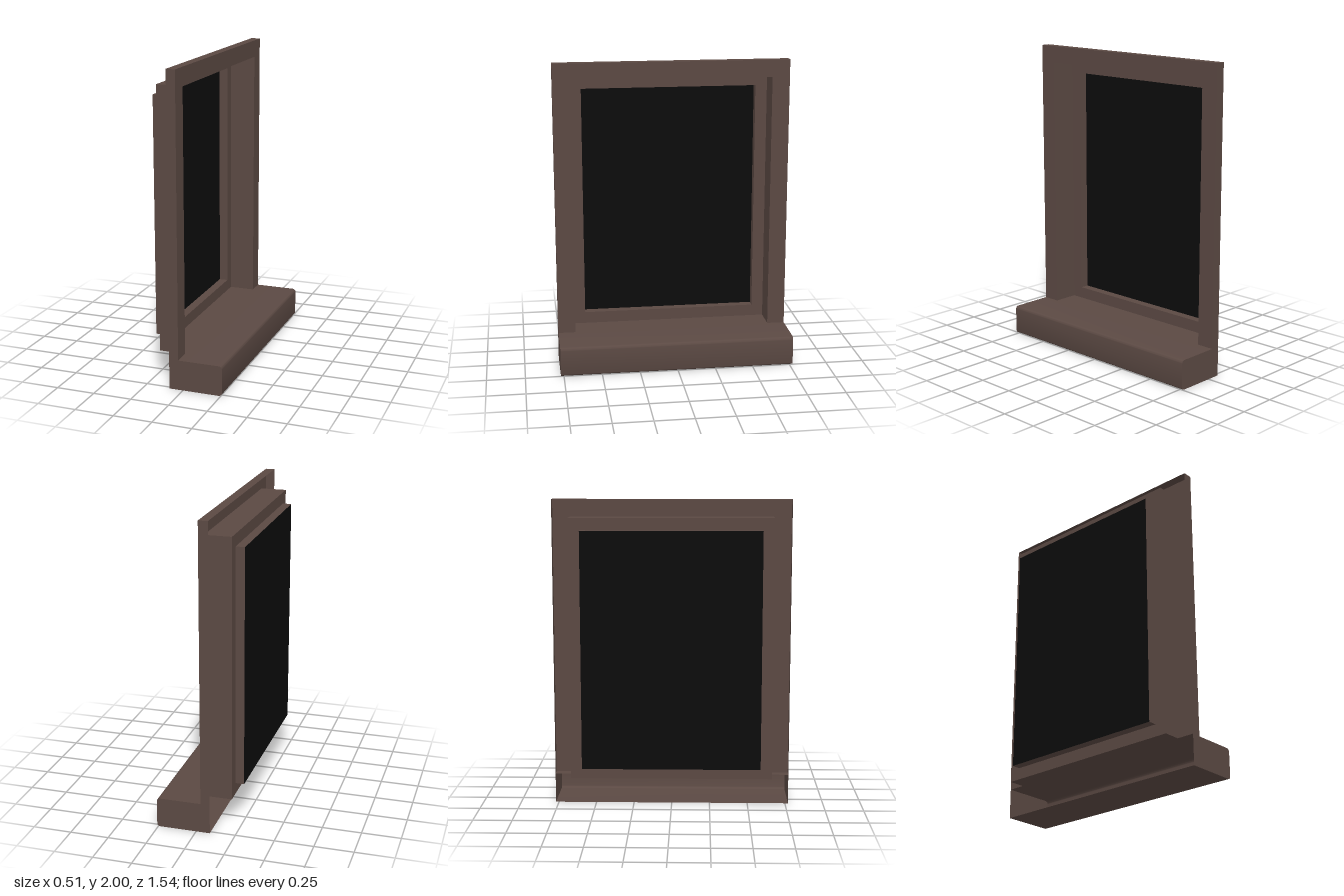
import * as THREE from 'three';
import { toCreasedNormals } from 'three/addons/utils/BufferGeometryUtils.js';

const HALF = 0.77;      // half width of frame and sill
const SILL_TOP = 0.195;

// Rectangle in the plane x, listed bottom-left, bottom-right, top-right, top-left
const rect = (x, z, y0, y1) => [[x, y0, z], [x, y0, -z], [x, y1, -z], [x, y1, z]];

// Skin between two lists of points; closed joins the last point to the first
function skin(a, b, closed) {
  const pos = [];
  const n = closed ? a.length : a.length - 1;
  for (let i = 0; i < n; i++) {
    const j = (i + 1) % a.length;
    pos.push(...a[i], ...a[j], ...b[j], ...a[i], ...b[j], ...b[i]);
  }
  const geo = new THREE.BufferGeometry();
  geo.setAttribute('position', new THREE.Float32BufferAttribute(pos, 3));
  geo.computeVertexNormals();
  return geo;
}

export function createModel() {
  const model = new THREE.Group();
  model.name = 'window';
  const brown = new THREE.MeshStandardMaterial({ color: 0x5b4943, side: THREE.DoubleSide });
  brown.name = 'brown frame';
  const black = new THREE.MeshStandardMaterial({ color: 0x0c0c0c, side: THREE.DoubleSide });
  black.name = 'black glass';

  const add = (name, geo, mat, parent = model) => {
    const mesh = new THREE.Mesh(geo, mat);
    mesh.name = name;
    parent.add(mesh);
    return mesh;
  };

  // Stepped frame: thin-walled rectangles running from the casing back to the glass
  const casingBack = rect(-0.09, HALF, SILL_TOP, 2);
  const casingFront = rect(-0.03, HALF, SILL_TOP, 2);
  const openingFront = rect(-0.03, 0.655, SILL_TOP, 1.887);
  const openingMid = rect(-0.09, 0.655, SILL_TOP, 1.887);
  const revealBack = rect(-0.2, 0.655, SILL_TOP, 1.887);
  const sashFront = rect(-0.2, 0.578, 0.272, 1.81);
  const sashBack = rect(-0.2575, 0.578, 0.272, 1.81);
  // Leave off the bottom side, which rests on the sill
  const noBottom = (r) => r.slice(1);

  add('casingEdge', skin(casingBack, casingFront, true), brown);
  const face = skin([...noBottom(casingFront), casingFront[0]], [...noBottom(openingFront), openingFront[0]], false);
  add('casingFace', face, brown);
  add('casingReturn', skin([...noBottom(openingFront), openingFront[0]], [...noBottom(openingMid), openingMid[0]], false), brown);
  add('reveal', skin(openingMid, revealBack, true), brown);
  add('sashFace', skin(revealBack, sashFront, true), brown);
  add('sashEdge', skin(sashFront, sashBack, true), brown);

  // Glass pane
  const pane = new THREE.PlaneGeometry(1.156, 1.538).rotateY(Math.PI / 2).translate(-0.2575, 1.041, 0);
  add('glass', pane, black);

  // Sill: profile with rounded front edges, open at the back
  const r = 0.02, front = 0.2575;
  const profile = [[-0.03, SILL_TOP]];
  for (const [cy, start] of [[SILL_TOP - r, Math.PI / 2], [r, 0]]) {
    for (let i = 0; i <= 5; i++) {
      const t = start - (i / 5) * Math.PI / 2;
      profile.push([front - r + r * Math.cos(t), cy + r * Math.sin(t)]);
    }
  }
  profile.push([-0.09, 0]);
  const sill = new THREE.Group();
  sill.name = 'sill';
  model.add(sill);
  const row = (z) => profile.map(([x, y]) => [x, y, z]);
  add('sillBoard', toCreasedNormals(skin(row(HALF), row(-HALF), false), 0.6), brown, sill);

  // Sill ends
  const endShape = new THREE.Shape([[-0.09, SILL_TOP], ...profile].map(([x, y]) => new THREE.Vector2(x, y)));
  for (const side of [1, -1]) {
    const end = add(side > 0 ? 'sillEndFront' : 'sillEndBack', new THREE.ShapeGeometry(endShape), brown, sill);
    end.position.z = side * HALF;
  }
  return model;
}
